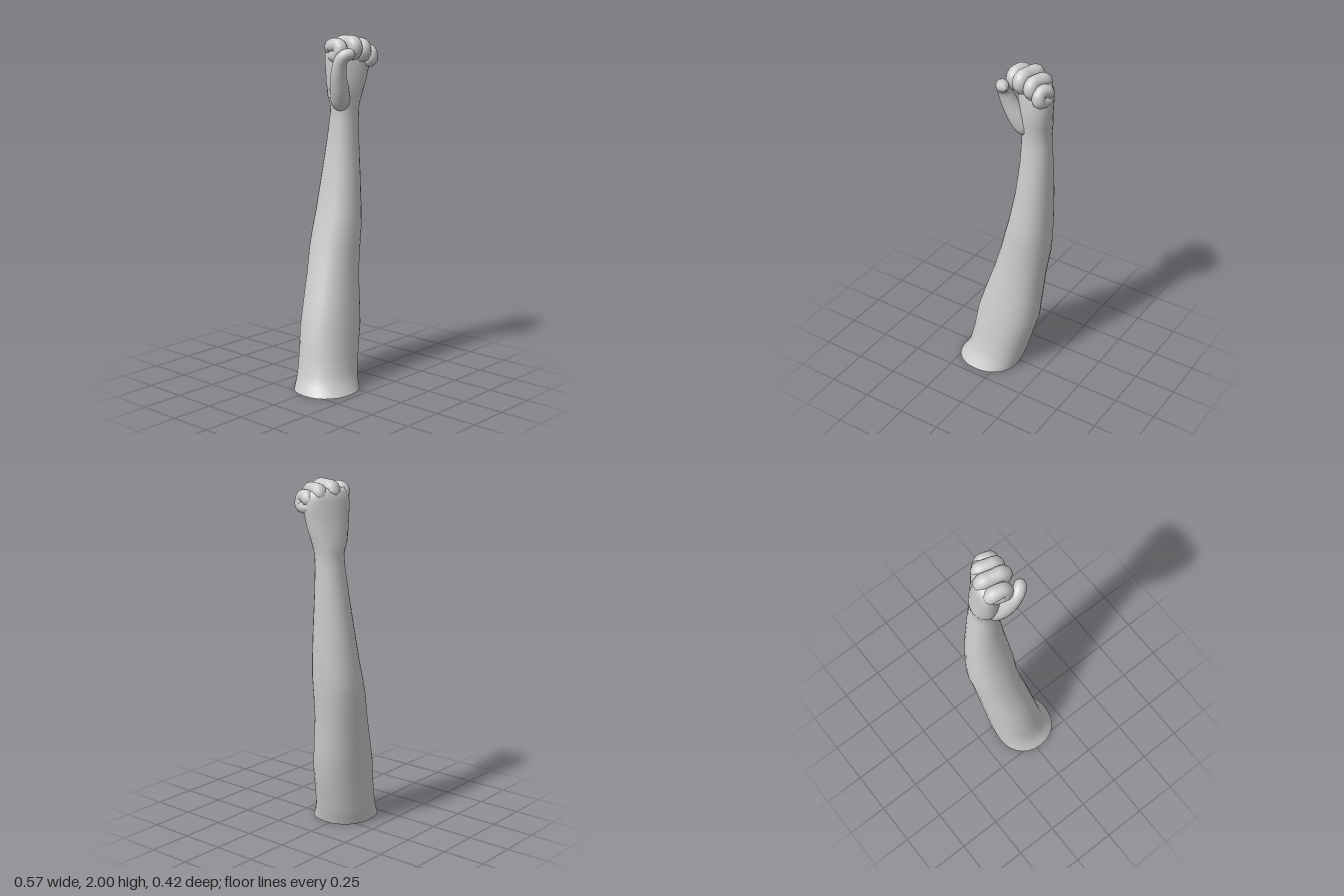
import * as THREE from 'three';

const SIDES = 28;
const material = new THREE.MeshStandardMaterial({ color: 0xcccccc });

// Skin a list of rings (each SIDES points) with smooth normals
function loft(name, rings) {
  const pos = [], index = [];
  rings.forEach((ring) => ring.forEach((p) => pos.push(p.x, p.y, p.z)));
  for (let i = 0; i < rings.length - 1; i++) {
    for (let j = 0; j < SIDES; j++) {
      const a = i * SIDES + j, b = i * SIDES + (j + 1) % SIDES;
      index.push(a, b, a + SIDES, b, b + SIDES, a + SIDES);
    }
  }
  const geometry = new THREE.BufferGeometry();
  geometry.setAttribute('position', new THREE.Float32BufferAttribute(pos, 3));
  geometry.setIndex(index);
  geometry.computeVertexNormals();
  const mesh = new THREE.Mesh(geometry, material);
  mesh.name = name;
  return mesh;
}

// Horizontal, slightly squared oval, turned about y
function oval(y, cx, cz, a, b, turn = 0) {
  const soft = (v) => Math.sign(v) * Math.abs(v) ** 0.92;
  return Array.from({ length: SIDES }, (_, j) => {
    const t = -j / SIDES * Math.PI * 2;
    const u = a * soft(Math.cos(t)), v = b * soft(Math.sin(t));
    return new THREE.Vector3(
      cx + u * Math.cos(turn) - v * Math.sin(turn), y,
      cz + u * Math.sin(turn) + v * Math.cos(turn));
  });
}

// Round-ended digit along a curve, its radius following the given list
function digit(name, points, radii, steps = 28) {
  const curve = new THREE.CatmullRomCurve3(points.map((p) => new THREE.Vector3(...p)));
  const length = curve.getLength();
  const frames = curve.computeFrenetFrames(steps);
  const rings = [];
  for (let i = 0; i <= steps; i++) {
    const t = i / steps, f = t * (radii.length - 1);
    const k = Math.min(Math.floor(f), radii.length - 2);
    const radius = THREE.MathUtils.lerp(radii[k], radii[k + 1], f - k);
    const s = Math.min(1, Math.min(t, 1 - t) * length / radius);
    const r = radius * Math.sqrt(1 - (1 - s) ** 2);
    const centre = curve.getPointAt(t);
    rings.push(Array.from({ length: SIDES }, (_, j) => {
      const angle = j / SIDES * Math.PI * 2;
      return centre.clone()
        .addScaledVector(frames.normals[i], r * Math.cos(angle))
        .addScaledVector(frames.binormals[i], r * Math.sin(angle));
    }));
  }
  return loft(name, rings);
}

export function createModel() {
  const model = new THREE.Group();
  model.name = 'raisedArm';

  // Upper arm, elbow and forearm: y, x min, x max, z min, z max
  const armRings = [
    [0, -0.285, 0.09, -0.15, 0.21],
    [0.05, -0.255, 0.105, -0.155, 0.18],
    [0.1, -0.235, 0.12, -0.16, 0.16],
    [0.2, -0.215, 0.145, -0.165, 0.145],
    [0.35, -0.195, 0.185, -0.175, 0.125],
    [0.5, -0.15, 0.195, -0.185, 0.105],
    [0.65, -0.103, 0.205, -0.195, 0.083],
    [0.8, -0.062, 0.225, -0.21, 0.073],
    [0.9, -0.037, 0.232, -0.207, 0.072],
    [1.0, -0.01, 0.235, -0.2, 0.065],
    [1.2, 0.03, 0.237, -0.183, 0.045],
    [1.4, 0.055, 0.236, -0.155, 0.025],
    [1.53, 0.064, 0.235, -0.135, 0.018],
  ].map(([y, x0, x1, z0, z1]) =>
    oval(y, (x0 + x1) / 2, (z0 + z1) / 2, (x1 - x0) / 2, (z1 - z0) / 2));

  // Wrist and palm: y, centre x, centre z, half width, half depth, turn
  const palmRings = [
    [1.6, 0.151, -0.055, 0.084, 0.073, 0.15],
    [1.66, 0.146, -0.052, 0.1, 0.08, 0.3],
    [1.74, 0.147, -0.042, 0.118, 0.076, 0.4],
    [1.83, 0.152, -0.037, 0.131, 0.07, 0.44],
    [1.89, 0.155, -0.037, 0.134, 0.066, 0.44],
    [1.93, 0.148, -0.04, 0.118, 0.06, 0.44],
    [1.955, 0.138, -0.043, 0.09, 0.045, 0.44],
    [1.965, 0.138, -0.043, 0, 0, 0.44],
  ].map((s) => oval(...s));
  model.add(loft('armAndPalm', [...armRings, ...palmRings]));

  // Flat cut at the base
  model.add(loft('baseCap', [oval(0, -0.0975, 0.03, 0, 0), armRings[0]]));

  // Curled fingers: knuckle x and z, height, front x and z, radius
  const fist = new THREE.Group();
  fist.name = 'fingers';
  [
    ['indexFinger', 0.058, -0.085, 1.945, 0.043, 0.004, 0.041],
    ['middleFinger', 0.14, -0.085, 1.959, 0.113, 0.05, 0.041],
    ['ringFinger', 0.208, -0.05, 1.945, 0.182, 0.058, 0.039],
    ['littleFinger', 0.25, -0.005, 1.912, 0.235, 0.067, 0.036],
  ].forEach(([name, kx, kz, y, fx, fz, r]) => {
    const mx = (kx + fx) / 2, mz = (kz + fz) / 2;
    fist.add(digit(name, [
      [kx, y - 0.05, kz + 0.02],
      [kx, y - 0.012, kz + 0.015],
      [mx, y, mz],
      [fx, y - 0.004, fz - 0.004],
      [fx, y - 0.05, fz],
      [fx + 0.012, y - 0.058, fz - 0.05],
      [fx + 0.02, y - 0.055, fz - 0.09],
    ], [r, r * 1.05, r * 0.95, r * 1.03, r * 0.95, r * 0.85]));
  });
  model.add(fist);

  // Thumb with its fleshy base, bent across the front
  model.add(digit('thumb', [
    [0.11, 1.58, -0.045],
    [0.055, 1.69, -0.01],
    [0.016, 1.79, 0.018],
    [0.003, 1.865, 0.045],
    [0.015, 1.9, 0.078],
    [0.055, 1.897, 0.108],
  ], [0.04, 0.055, 0.054, 0.047, 0.04, 0.037, 0.029]));

  return model;
}
